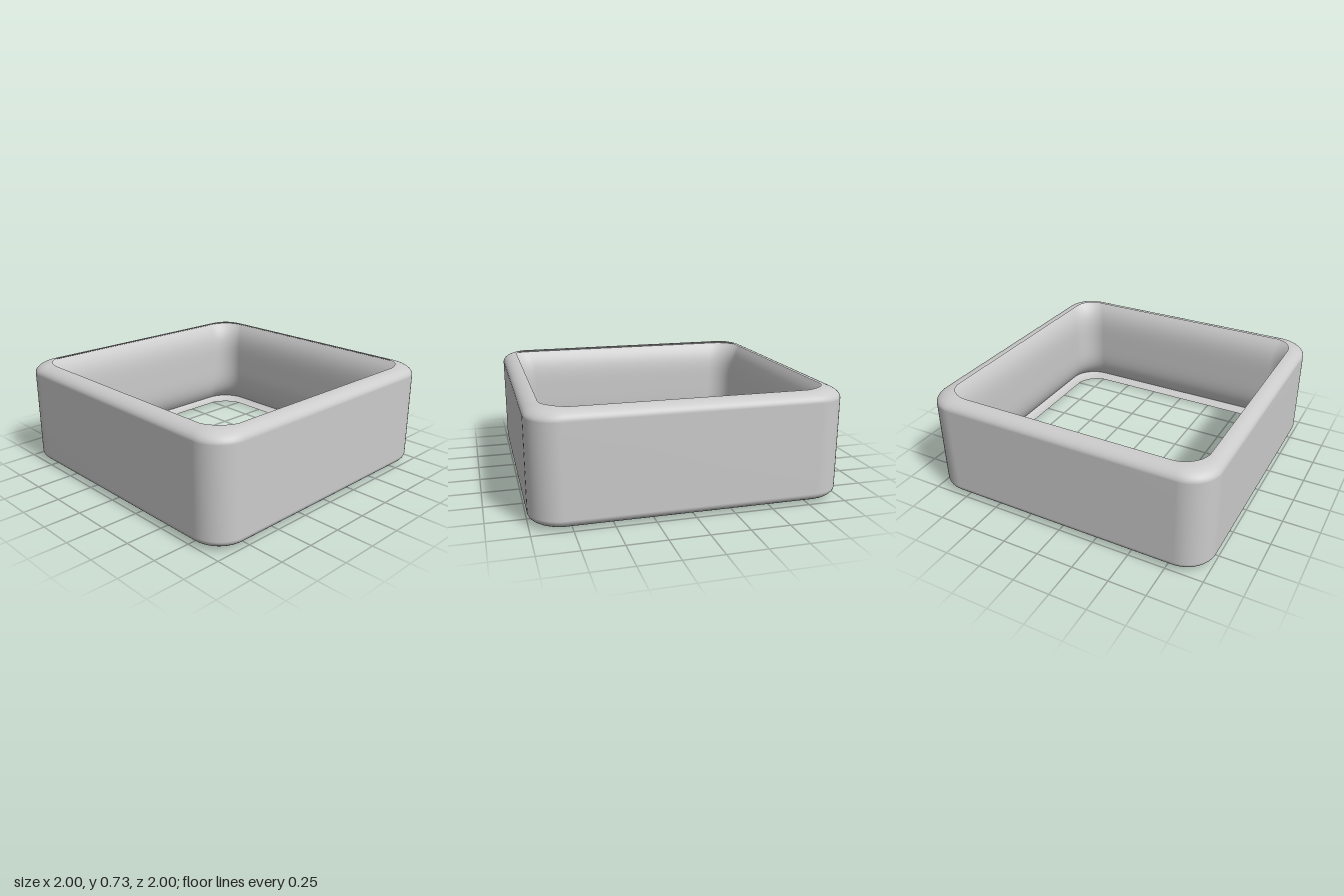
import * as THREE from 'three';

const CORNER_STEPS = 12;
const MID_Y = 0.365;

// Rounded-square loop, inset by d from the outer wall; corners rise slightly towards the lips
function squareLoop(d, y) {
  const half = 1 - d;
  const r = 0.2 - 0.4 * d;
  const points = [];
  for (let corner = 0; corner < 4; corner++) {
    const mid = Math.PI / 4 + corner * Math.PI / 2;
    const cx = Math.sign(Math.cos(mid)) * (half - r);
    const cz = Math.sign(Math.sin(mid)) * (half - r);
    for (let i = 0; i <= CORNER_STEPS; i++) {
      const f = i / CORNER_STEPS;
      const a = (corner + f) * Math.PI / 2;
      const rise = 1 + 0.014 * Math.sin(f * Math.PI) * d / 0.1;
      points.push(cx + r * Math.cos(a), MID_Y + (y - MID_Y) * rise, cz + r * Math.sin(a));
    }
  }
  return points;
}

// Skin a profile of [inset, height] pairs around the rounded square
function sweep(profile, name) {
  const n = 4 * (CORNER_STEPS + 1);
  const position = profile.flatMap(([d, y]) => squareLoop(d, y));
  const index = [];
  for (let j = 0; j < profile.length - 1; j++) {
    for (let i = 0; i < n; i++) {
      const a = j * n + i;
      const b = j * n + (i + 1) % n;
      index.push(a, b, a + n, b, b + n, a + n);
    }
  }
  const geometry = new THREE.BufferGeometry();
  geometry.setAttribute('position', new THREE.Float32BufferAttribute(position, 3));
  geometry.setIndex(index);
  geometry.computeVertexNormals();
  const material = new THREE.MeshStandardMaterial({ color: 0xcccccc, side: THREE.DoubleSide });
  const mesh = new THREE.Mesh(geometry, material);
  mesh.name = name;
  return mesh;
}

export function createModel() {
  const group = new THREE.Group();
  group.name = 'squareRing';

  // Outer wall, rolled inwards to a lip at the top and the bottom
  const top = [];
  for (let i = 0; i <= 10; i++) {
    const t = (1 - i / 10) * Math.PI / 2;
    top.push([0.1 * (1 - Math.cos(t)), 0.66 + 0.065 * Math.sin(t)]);
  }
  const bottom = top.map(([d, y]) => [d, 2 * MID_Y - y]).reverse();
  group.add(sweep([...top, ...bottom], 'outerWall'));

  // Inner wall, curving back to meet the outer wall behind the lips
  const inner = [];
  for (let i = 0; i <= 24; i++) {
    const s = i / 12 - 1;
    inner.push([0.1 - 0.07 * s ** 4, MID_Y + 0.335 * s]);
  }
  group.add(sweep(inner, 'innerWall'));

  return group;
}
